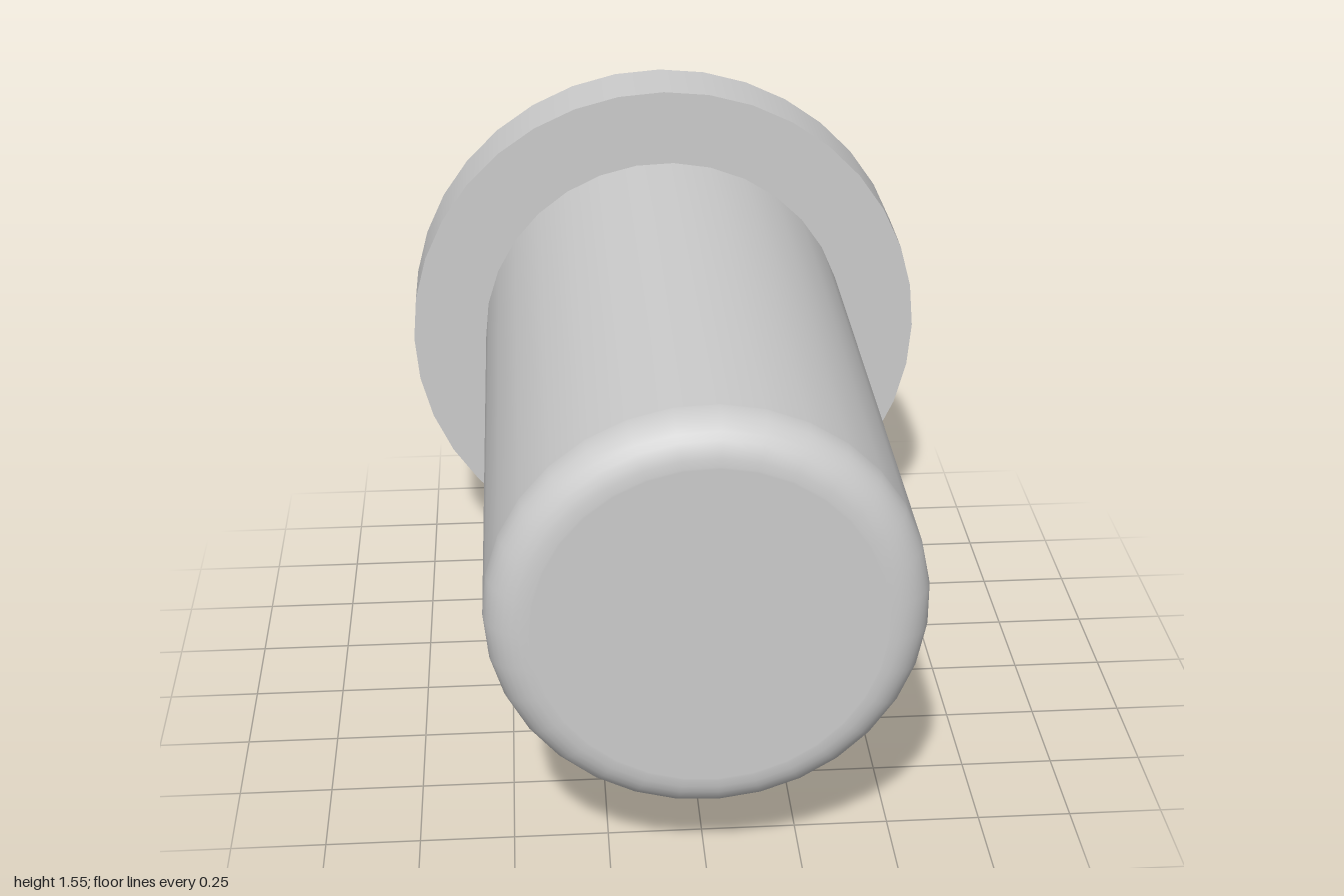
import * as THREE from 'three';

const CENTER_Y = 0.777;

export function createModel() {
  const group = new THREE.Group();
  const material = new THREE.MeshStandardMaterial({ color: 0xcccccc });

  const add = (name, geometry) => {
    const mesh = new THREE.Mesh(geometry, material);
    mesh.name = name;
    mesh.position.y = CENTER_Y;
    group.add(mesh);
  };

  // Flat disc head at the back
  const headGeometry = new THREE.CylinderGeometry(0.777, 0.777, 0.22, 36);
  headGeometry.rotateX(Math.PI / 2).translate(0, 0, -0.89);
  add('head', headGeometry);

  // Shaft with a rounded front rim, turned from one profile
  const radius = 0.555, fillet = 0.11, steps = 8;
  const profile = [new THREE.Vector2(radius, -0.78), new THREE.Vector2(radius, 0.885)];
  for (let i = 0; i <= steps; i++) {
    const a = (i / steps) * Math.PI / 2;
    profile.push(new THREE.Vector2(
      radius - fillet + fillet * Math.cos(a),
      1 - fillet + fillet * Math.sin(a)));
  }
  // Short flat step keeps the end face evenly shaded
  profile.push(new THREE.Vector2(radius - fillet - 0.005, 1), new THREE.Vector2(0, 1));
  const shaftGeometry = new THREE.LatheGeometry(profile, 31, -Math.PI / 2);
  shaftGeometry.rotateX(Math.PI / 2);
  add('shaft', shaftGeometry);

  return group;
}
